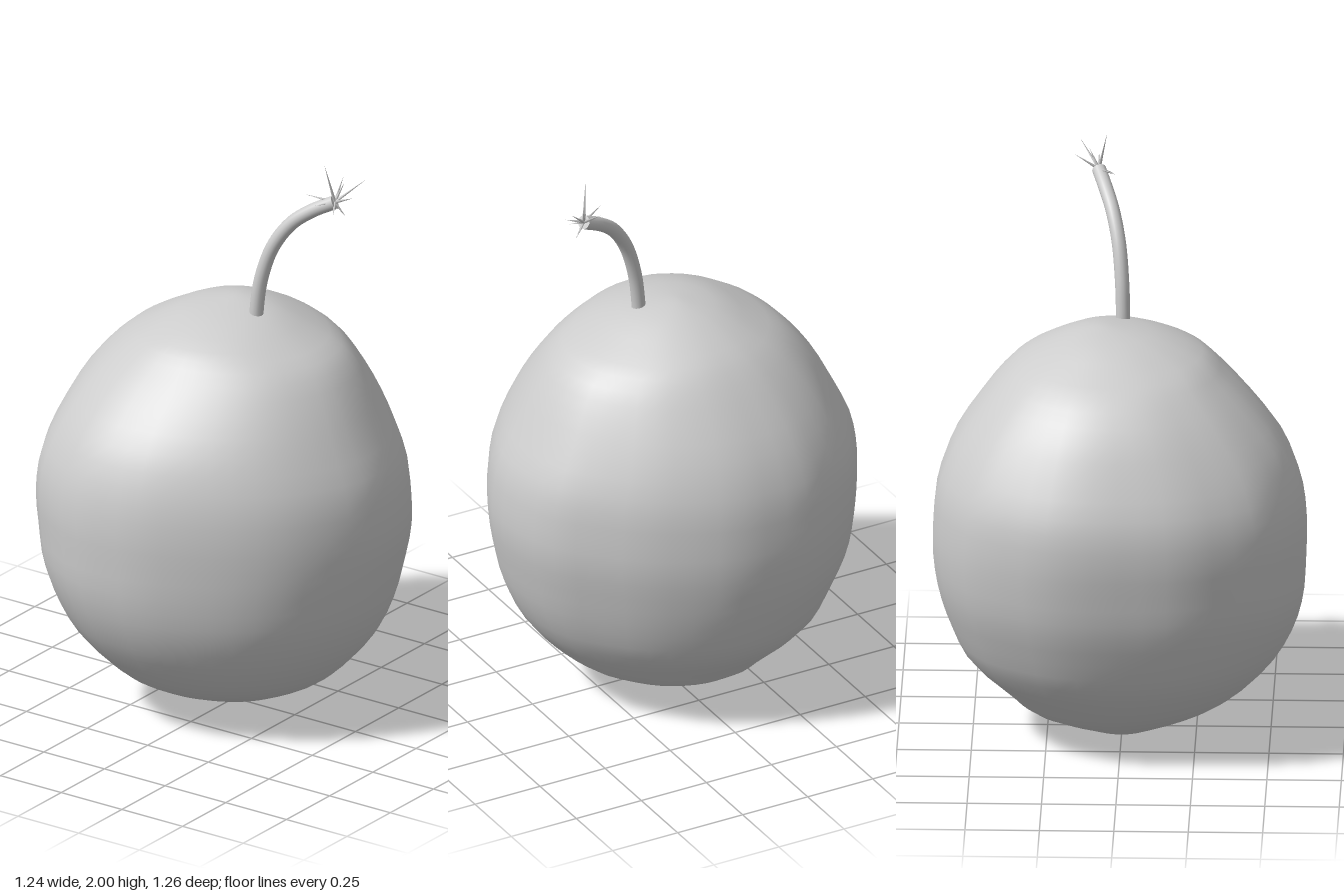
import * as THREE from 'three';

// Height levels of the fruit: y, then its extent -x, +x, -z, +z
const LEVELS = [
  [0, -0.03, -0.03, 0, 0],
  [0.01, -0.11, 0.04, -0.06, 0.06],
  [0.045, -0.2, 0.15, -0.155, 0.15],
  [0.1, -0.3, 0.28, -0.317, 0.285],
  [0.17, -0.385, 0.385, -0.395, 0.4],
  [0.29, -0.49, 0.492, -0.512, 0.51],
  [0.42, -0.55, 0.558, -0.57, 0.58],
  [0.55, -0.595, 0.593, -0.608, 0.614],
  [0.68, -0.615, 0.618, -0.627, 0.622],
  [0.8, -0.627, 0.619, -0.626, 0.624],
  [0.93, -0.617, 0.598, -0.612, 0.605],
  [1.07, -0.56, 0.53, -0.56, 0.548],
  [1.2, -0.49, 0.458, -0.475, 0.445],
  [1.3, -0.4, 0.38, -0.39, 0.345],
  [1.36, -0.3, 0.27, -0.312, 0.275],
  [1.415, -0.19, 0.15, -0.2, 0.14],
  [1.44, -0.08, 0.05, -0.12, 0.01],
  [1.447, -0.02, -0.02, -0.06, -0.06],
];

// Lopsided outline of the fruit seen from above (x, z)
const PLAN = [
  [-0.126, -0.63], [0.05, -0.616], [0.213, -0.55], [0.347, -0.468], [0.46, -0.36],
  [0.559, -0.25], [0.605, -0.13], [0.623, -0.02], [0.616, 0.086], [0.579, 0.18],
  [0.505, 0.304], [0.4, 0.414], [0.243, 0.518], [0.045, 0.606], [-0.122, 0.626],
  [-0.25, 0.616], [-0.438, 0.518], [-0.495, 0.448], [-0.596, 0.237], [-0.622, 0],
  [-0.622, -0.116], [-0.6, -0.25], [-0.52, -0.404], [-0.434, -0.515], [-0.25, -0.616],
];

function fruitGeometry(segments = 48, rings = 40) {
  const spline = (pts, closed) => new THREE.CatmullRomCurve3(pts, closed, 'catmullrom', 0.5);
  const xCurve = spline(LEVELS.map(([y, a, b]) => new THREE.Vector3(a, y, b)), false);
  const zCurve = spline(LEVELS.map(([y, , , a, b]) => new THREE.Vector3(a, y, b)), false);
  const plan = spline(PLAN.map(([x, z]) => new THREE.Vector3(x / 0.626, 0, z / 0.626)), true);
  const outline = plan.getSpacedPoints(segments).slice(0, segments);

  const positions = [];
  for (let j = 1; j < rings; j++) {
    const ex = xCurve.getPoint(j / rings);
    const ez = zCurve.getPoint(j / rings);
    // the lopsided outline fades to a rounder one near the poles
    const round = 0.7 * Math.min(1, Math.abs(ex.y - 0.72) / 0.72) ** 2;
    for (const p of outline) {
      const a = Math.atan2(p.z, p.x);
      const u = THREE.MathUtils.lerp(p.x, Math.cos(a), round);
      const v = THREE.MathUtils.lerp(p.z, Math.sin(a), round);
      positions.push(
        (ex.x + ex.z) / 2 + u * (ex.z - ex.x) / 2,
        ex.y,
        (ez.x + ez.z) / 2 + v * (ez.z - ez.x) / 2
      );
    }
  }
  const bottom = positions.length / 3;
  const top = bottom + 1;
  for (const l of [LEVELS[0], LEVELS[LEVELS.length - 1]]) positions.push(l[1], l[0], l[3]);

  const index = [];
  const last = (rings - 2) * segments;
  for (let i = 0; i < segments; i++) {
    const n = (i + 1) % segments;
    index.push(bottom, i, n, top, last + n, last + i);
    for (let r = 0; r < last; r += segments) {
      const a = r + i, b = r + n, c = a + segments, d = b + segments;
      index.push(a, c, b, b, c, d);
    }
  }
  const geometry = new THREE.BufferGeometry();
  geometry.setAttribute('position', new THREE.Float32BufferAttribute(positions, 3));
  geometry.setIndex(index);
  geometry.computeVertexNormals();
  return geometry;
}

export function createModel() {
  const group = new THREE.Group();
  const grey = new THREE.MeshStandardMaterial({ color: 0xcccccc });
  grey.name = 'light grey';
  const add = (name, geometry, parent = group) => {
    const mesh = new THREE.Mesh(geometry, grey);
    mesh.name = name;
    parent.add(mesh);
    return mesh;
  };
  const up = new THREE.Vector3(0, 1, 0);

  add('fruit', fruitGeometry());

  // Bent stem with a flat cut end
  const path = new THREE.CatmullRomCurve3([
    [0.09, 1.37, 0], [0.094, 1.45, 0], [0.11, 1.56, -0.004], [0.15, 1.68, -0.016],
    [0.21, 1.77, -0.038], [0.275, 1.822, -0.062], [0.352, 1.864, -0.088],
  ].map(p => new THREE.Vector3(...p)));
  add('stem', new THREE.TubeGeometry(path, 28, 0.024, 14));
  const tip = path.getPoint(1);
  const cut = add('stemEnd', new THREE.CircleGeometry(0.024, 14));
  cut.position.copy(tip);
  cut.quaternion.setFromUnitVectors(new THREE.Vector3(0, 0, 1), path.getTangent(1));

  // Frayed fibres fanning out of the cut end
  const fibres = new THREE.Group();
  fibres.name = 'fibres';
  group.add(fibres);
  const ends = [
    [0.33, 2, -0.06], [0.435, 1.945, -0.155], [0.33, 1.925, -0.17], [0.425, 1.895, -0.09],
    [0.26, 1.885, -0.045], [0.31, 1.86, -0.03], [0.39, 1.815, -0.1], [0.37, 1.93, -0.12],
    [0.38, 1.84, -0.04],
  ];
  for (const e of ends) {
    const end = new THREE.Vector3(...e);
    const dir = end.clone().sub(tip);
    const length = dir.length();
    const fibre = add('fibre', new THREE.ConeGeometry(0.006, length, 5), fibres);
    fibre.position.copy(tip).lerp(end, 0.5);
    fibre.quaternion.setFromUnitVectors(up, dir.normalize());
  }
  return group;
}
